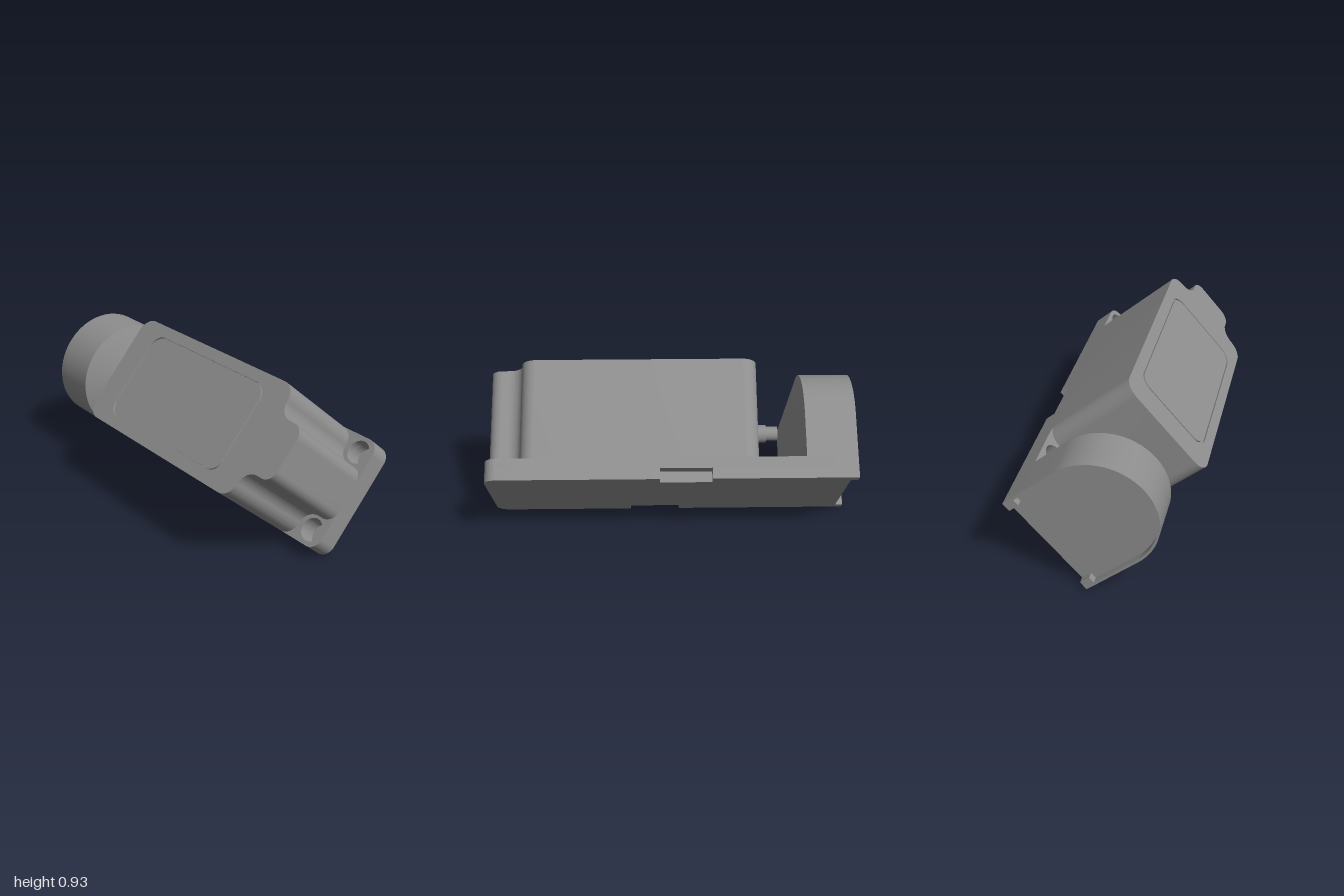
import * as THREE from 'three';
import { toCreasedNormals } from 'three/addons/utils/BufferGeometryUtils.js';

const HALF = 0.3225, TOP = 0.68, SLAB = 0.12, ARC_Y = TOP - HALF;
const material = new THREE.MeshStandardMaterial({ color: 0x8e8e8e });

export function createModel() {
  const model = new THREE.Group();
  const tilted = new THREE.Group();
  tilted.name = 'switchHousing';
  // the whole housing leans forward about its long axis
  tilted.rotation.x = 0.858;
  tilted.position.set(0, 0.245, -0.257);
  model.add(tilted);

  const add = (name, geometry) => {
    const mesh = new THREE.Mesh(geometry, material);
    mesh.name = name;
    tilted.add(mesh);
  };
  const extrude = (shape, depth) =>
    new THREE.ExtrudeGeometry(shape, { depth, bevelEnabled: false, curveSegments: 16 });
  // plan outline (x, -z) raised from y0 to y1
  const slab = (name, shape, y0, y1) =>
    add(name, toCreasedNormals(extrude(shape, y1 - y0).rotateX(-Math.PI / 2).translate(0, y0, 0), 0.6));
  // end outline (z, y) swept from x0 to x1
  const sweep = (name, shape, x0, x1) =>
    add(name, toCreasedNormals(extrude(shape, x1 - x0).rotateY(Math.PI / 2).translate(x0, 0, 0), 0.6));

  // base plate in layers: notched along the bottom edges, with deep blind screw holes
  const plate = (notched, drilled) => {
    const s = new THREE.Shape(), r = 0.07, d = 0.07;
    s.moveTo(-0.96, -HALF);
    if (notched) {
      s.lineTo(-0.05, -HALF).lineTo(-0.05, -HALF + d);
      s.lineTo(0.23, -HALF + d).lineTo(0.23, -HALF);
    }
    s.lineTo(1 - r, -HALF);
    s.absarc(1 - r, -HALF + r, r, -Math.PI / 2, 0, false);
    s.absarc(1 - r, HALF - r, r, 0, Math.PI / 2, false);
    if (notched) {
      s.lineTo(0.06, HALF).lineTo(0.06, HALF - d);
      s.lineTo(-0.22, HALF - d).lineTo(-0.22, HALF);
    }
    s.lineTo(-0.96, HALF);
    s.closePath();
    if (drilled) {
      for (const x of [-0.57, 0.91]) {
        for (const z of [-0.235, 0.235]) {
          s.holes.push(new THREE.Path().absarc(x, z, 0.065, 0, Math.PI * 2, true));
        }
      }
    }
    return s;
  };
  slab('basePlateFloor', plate(true, false), 0, 0.012);
  slab('basePlateLower', plate(true, true), 0.012, 0.06);
  slab('basePlateUpper', plate(false, true), 0.06, SLAB);

  // main body outline: rounded block with concave corners leading to a tongue
  const bodyOutline = () => {
    const s = new THREE.Shape(), r = 0.0835, tip = 0.066, q = Math.PI / 2;
    const x0 = -0.476, x1 = 0.815, tongue = HALF - 2 * r;
    s.moveTo(x0 + r, -HALF);
    s.absarc(x1 - r, -HALF + r, r, -q, 0, false);
    s.absarc(x1 + r, -HALF + r, r, 2 * q, q, true);
    s.absarc(1 - tip, -tongue + tip, tip, -q, 0, false);
    s.absarc(1 - tip, tongue - tip, tip, 0, q, false);
    s.absarc(x1 + r, HALF - r, r, -q, -2 * q, true);
    s.absarc(x1 - r, HALF - r, r, 0, q, false);
    s.absarc(x0 + r, HALF - r, r, q, 2 * q, false);
    s.absarc(x0 + r, -HALF + r, r, 2 * q, 3 * q, false);
    return s;
  };
  const roundedRect = (x0, x1, h, r) => {
    const s = new THREE.Shape(), q = Math.PI / 2;
    s.absarc(x1 - r, -h + r, r, -q, 0, false);
    s.absarc(x1 - r, h - r, r, 0, q, false);
    s.absarc(x0 + r, h - r, r, q, 2 * q, false);
    s.absarc(x0 + r, -h + r, r, 2 * q, 3 * q, false);
    s.closePath();
    return s;
  };
  // a thin groove separates the top panel from its frame
  const groove = 0.01;
  slab('body', bodyOutline(), SLAB, TOP - groove);
  const frame = bodyOutline();
  frame.holes.push(roundedRect(-0.322, 0.652, 0.259, 0.08));
  slab('topFrame', frame, TOP - groove, TOP);
  slab('topPanel', roundedRect(-0.312, 0.642, 0.249, 0.07), TOP - groove, TOP);

  // arched cable end
  const arch = new THREE.Shape();
  arch.moveTo(-HALF, SLAB).lineTo(HALF, SLAB);
  arch.absarc(0, ARC_Y, HALF, 0, Math.PI, false);
  arch.closePath();
  sweep('archedEnd', arch, -0.96, -0.725);

  // raised rim around the recessed end face, open at the bottom
  const rim = new THREE.Shape(), inner = 0.308, foot = 0.27;
  rim.moveTo(foot, 0).lineTo(HALF, 0);
  rim.absarc(0, ARC_Y, HALF, 0, Math.PI, false);
  rim.lineTo(-HALF, 0).lineTo(-foot, 0).lineTo(-foot, 0.065).lineTo(-inner, 0.065);
  rim.absarc(0, ARC_Y, inner, Math.PI, 0, true);
  rim.lineTo(inner, 0.065).lineTo(foot, 0.065);
  rim.closePath();
  sweep('endRim', rim, -1, -0.96);

  // tapered nose: arch outline drawn in to an upright ridge
  const steps = 32, outline = [[-HALF, SLAB]];
  for (let i = 0; i <= steps; i++) {
    const a = Math.PI * i / steps;
    outline.push([-HALF * Math.cos(a), ARC_Y + HALF * Math.sin(a)]);
  }
  outline.push([HALF, SLAB]);
  const positions = [];
  for (let i = 0; i + 1 < outline.length; i++) {
    const [p, n] = [outline[i], outline[i + 1]];
    const P = [-0.725, p[1], p[0]], N = [-0.725, n[1], n[0]];
    const Q = [-0.605, Math.min(p[1], ARC_Y), 0], M = [-0.605, Math.min(n[1], ARC_Y), 0];
    positions.push(...P, ...N, ...M);
    if (Q[1] !== M[1]) positions.push(...P, ...M, ...Q);
  }
  const nose = new THREE.BufferGeometry();
  nose.setAttribute('position', new THREE.Float32BufferAttribute(positions, 3));
  add('taperedNose', toCreasedNormals(nose, 0.5));

  // connecting pin and collar between nose and body
  const pin = (name, radius, x0, x1) => add(name,
    new THREE.CylinderGeometry(radius, radius, x1 - x0, 24)
      .rotateZ(Math.PI / 2).translate((x0 + x1) / 2, 0.35, 0));
  pin('pin', 0.04, -0.605, -0.54);
  pin('pinCollar', 0.05, -0.54, -0.47);

  return model;
}
